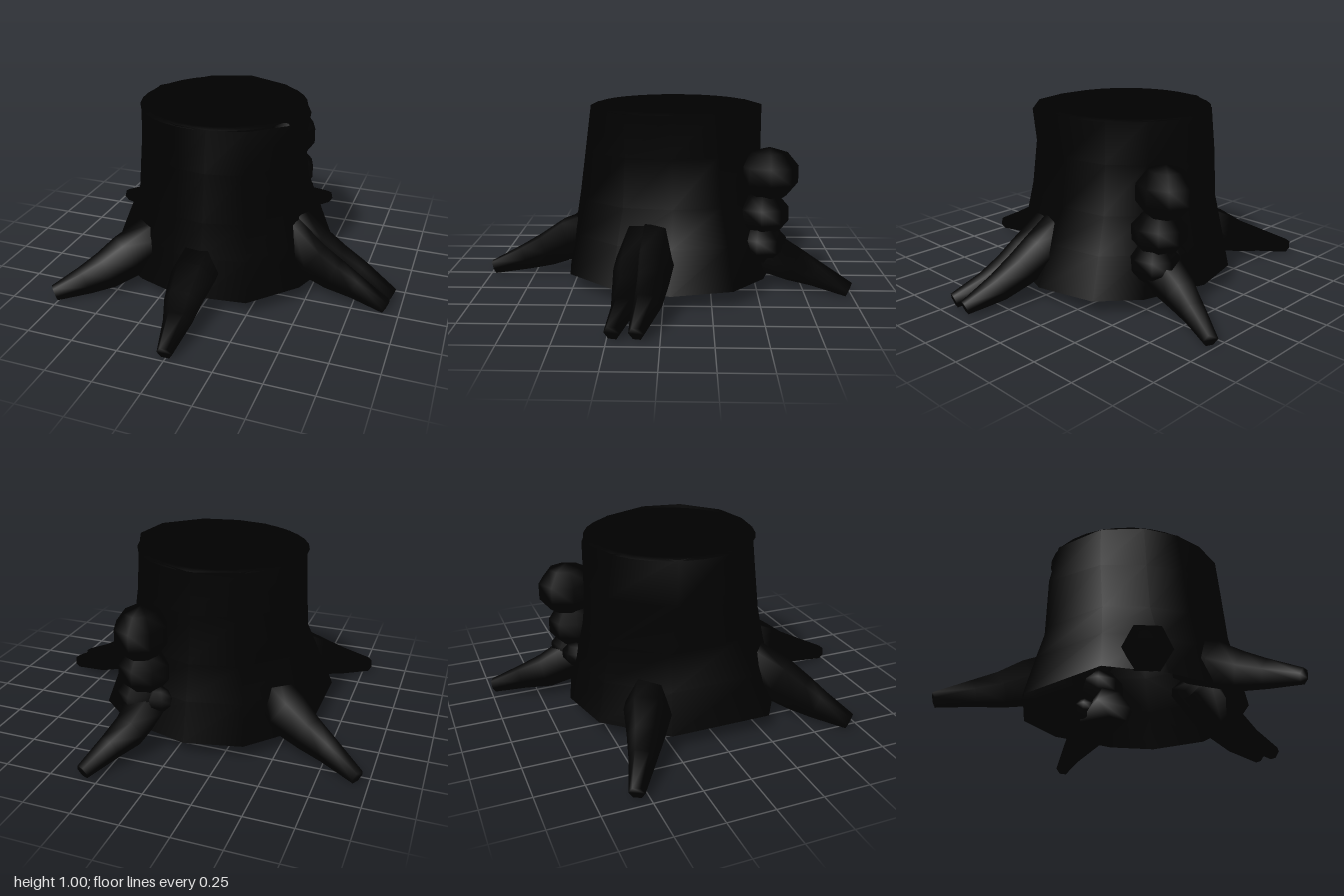
import * as THREE from 'three';

const bark = new THREE.MeshStandardMaterial({ color: 0x000000, side: THREE.DoubleSide });

// Skins a list of equally long rings of points, optionally closing both ends
function loft(rings, capped) {
  const n = rings[0].length;
  const pos = rings.flat().flatMap((p) => [p.x, p.y, p.z]);
  const idx = [];
  for (let i = 0; i < rings.length - 1; i++) {
    for (let j = 0; j < n; j++) {
      const a = i * n + j, b = i * n + (j + 1) % n;
      idx.push(a, b, b + n, a, b + n, a + n);
    }
  }
  if (capped) {
    const last = (rings.length - 1) * n;
    for (let j = 1; j < n - 1; j++) idx.push(0, j + 1, j, last, last + j, last + j + 1);
  }
  const geo = new THREE.BufferGeometry();
  geo.setAttribute('position', new THREE.Float32BufferAttribute(pos, 3));
  geo.setIndex(idx);
  geo.computeVertexNormals();
  return geo;
}

// Tapered root along stations [x, y, z, radius]
function rootGeometry(stations, sides = 6) {
  const pts = stations.map((s) => new THREE.Vector3(s[0], s[1], s[2]));
  const up = new THREE.Vector3(0, 1, 0);
  const rings = pts.map((p, i) => {
    const t = pts[Math.min(i + 1, pts.length - 1)].clone().sub(pts[Math.max(i - 1, 0)]).normalize();
    const side = up.clone().cross(t).normalize();
    const lift = t.clone().cross(side);
    return Array.from({ length: sides }, (_, j) => {
      const a = (j / sides) * Math.PI * 2;
      return p.clone()
        .addScaledVector(side, Math.cos(a) * stations[i][3])
        .addScaledVector(lift, Math.sin(a) * stations[i][3]);
    });
  });
  return loft(rings, true);
}

export function createModel() {
  const model = new THREE.Group();
  const add = (name, geo, parent = model) => {
    const mesh = new THREE.Mesh(geo, bark);
    mesh.name = name;
    parent.add(mesh);
    return mesh;
  };

  // Trunk: irregular outlines (x, z) at the foot, the waist, the shoulder and the rim
  const foot = [[0, 0.54], [0.25, 0.51], [0.47, 0.27], [0.58, -0.04], [0.5, -0.36], [0.3, -0.53],
    [-0.06, -0.63], [-0.36, -0.56], [-0.63, -0.26], [-0.63, 0.29], [-0.36, 0.47], [-0.15, 0.54]];
  const waist = [[0, 0.475], [0.22, 0.42], [0.37, 0.21], [0.41, -0.05], [0.36, -0.3], [0.21, -0.46],
    [-0.06, -0.54], [-0.32, -0.48], [-0.525, -0.22], [-0.5, 0.16], [-0.34, 0.34], [-0.16, 0.45]];
  const shoulder = [[0, 0.44], [0.2, 0.4], [0.36, 0.2], [0.39, -0.04], [0.33, -0.28], [0.19, -0.44],
    [-0.07, -0.53], [-0.31, -0.47], [-0.55, -0.2], [-0.49, 0.13], [-0.33, 0.31], [-0.16, 0.42]];
  const rim = [[0, 0.41], [0.2, 0.37], [0.39, 0.2], [0.425, -0.02], [0.32, -0.27], [0.17, -0.43],
    [-0.07, -0.53], [-0.3, -0.45], [-0.51, -0.18], [-0.485, 0.12], [-0.34, 0.3], [-0.17, 0.39]];
  const ring = (y, a, b, t) => a.map((p, i) => new THREE.Vector3(
    THREE.MathUtils.lerp(p[0], b[i][0], t), y, THREE.MathUtils.lerp(p[1], b[i][1], t)));
  add('trunk', loft([
    ring(0.085, foot, waist, 0),
    ring(0.3, foot, waist, 0.52),
    ring(0.49, foot, waist, 1),
    ring(0.75, waist, shoulder, 1),
    ring(0.975, shoulder, rim, 1),
  ], false));

  // Slightly domed cut surface
  const dome = [[0.455, 0.968], [0.43, 0.98], [0.25, 0.994], [0, 1]];
  const cut = add('cutTop', new THREE.LatheGeometry(dome.map((p) => new THREE.Vector2(...p)), 32));
  cut.position.set(-0.07, 0, -0.05);

  // Roots
  const roots = new THREE.Group();
  roots.name = 'roots';
  model.add(roots);
  const paths = {
    frontRoot: [[-0.02, 0.3, 0.31, 0.12], [-0.03, 0.21, 0.54, 0.125], [-0.03, 0.14, 0.68, 0.1],
      [-0.01, 0.1, 0.8, 0.075], [0, 0.04, 0.985, 0.04]],
    frontRightRoot: [[-0.31, 0.3, 0.27, 0.12], [-0.46, 0.19, 0.43, 0.125], [-0.55, 0.13, 0.52, 0.105],
      [-0.64, 0.09, 0.59, 0.08], [-0.775, 0.04, 0.695, 0.043]],
    backRightRoot: [[-0.36, 0.29, -0.25, 0.12], [-0.53, 0.2, -0.35, 0.125], [-0.66, 0.14, -0.41, 0.095],
      [-0.78, 0.1, -0.47, 0.07], [-0.945, 0.04, -0.56, 0.04]],
    backRoot: [[0.15, 0.28, -0.36, 0.125], [0.19, 0.2, -0.57, 0.115], [0.21, 0.14, -0.7, 0.095],
      [0.26, 0.1, -0.82, 0.068], [0.33, 0.04, -0.98, 0.04]],
    leftRoot: [[0.33, 0.36, 0.03, 0.11], [0.49, 0.24, 0.05, 0.11], [0.62, 0.17, 0.06, 0.095],
      [0.76, 0.11, 0.07, 0.075], [0.945, 0.043, 0.11, 0.038]],
    leftSideRoot: [[0.35, 0.33, 0.11, 0.11], [0.51, 0.2, 0.145, 0.11], [0.63, 0.14, 0.16, 0.09],
      [0.76, 0.095, 0.18, 0.065], [0.93, 0.04, 0.225, 0.04]],
  };
  for (const [name, path] of Object.entries(paths)) add(name, rootGeometry(path), roots);

  // Stack of lumpy growths on the back
  const growths = new THREE.Group();
  growths.name = 'growths';
  model.add(growths);
  const lump = new THREE.SphereGeometry(1, 8, 5);
  [
    ['topGrowth', 0.185, 0.635, -0.555, 0.145, 0.145, 0.165],
    ['middleGrowth', 0.19, 0.42, -0.525, 0.145, 0.125, 0.15],
    ['lowerGrowth', 0.21, 0.265, -0.51, 0.15, 0.115, 0.135],
    ['sideGrowth', 0.1, 0.27, -0.54, 0.08, 0.07, 0.09],
  ].forEach(([name, x, y, z, sx, sy, sz], i) => {
    const mesh = add(name, lump, growths);
    mesh.position.set(x, y, z);
    mesh.scale.set(sx, sy, sz);
    mesh.rotation.y = i * 0.7;
  });

  return model;
}
